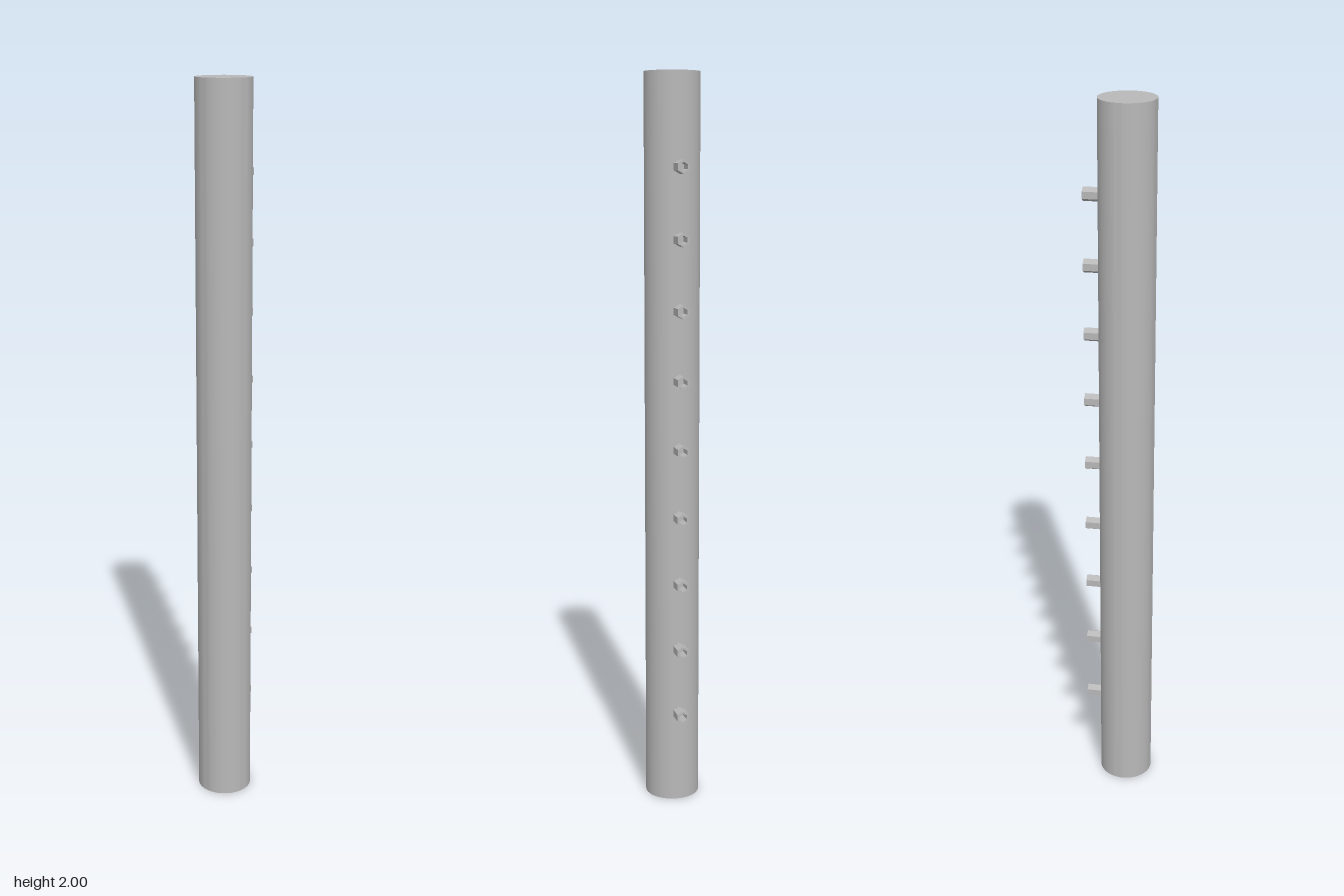
import * as THREE from 'three';
import { toCreasedNormals } from 'three/addons/utils/BufferGeometryUtils.js';

const PIPE_Z = 0.0185;   // pipe axis, set forward of the nozzles
const PIPE_R = 0.0745;
const BORE_R = 0.067;

// Turn a [radius, height] profile, keeping its corners sharp
function turned(profile, sides) {
  const points = profile.map(([r, y]) => new THREE.Vector2(r, y));
  return toCreasedNormals(new THREE.LatheGeometry(points, sides), 0.6);
}

export function createModel() {
  const grey = new THREE.MeshStandardMaterial({ color: 0xb8b8b8 });
  grey.name = 'grey';

  const model = new THREE.Group();
  model.name = 'sprayPipe';

  // Upright pipe: capped on top, open underneath
  const pipe = new THREE.Mesh(turned([
    [0, 1.99], [BORE_R, 1.99], [BORE_R, 0],
    [PIPE_R, 0], [PIPE_R, 2], [0, 2],
  ], 64), grey);
  pipe.name = 'pipe';
  pipe.position.z = PIPE_Z;
  model.add(pipe);

  // Row of short hollow six-sided nozzles up the back, turned a little to one side
  const nozzleGeometry = turned([
    [0, 0.076], [0.012, 0.076], [0.012, 0.113],
    [0.0185, 0.113], [0.0185, 0.07],
  ].reverse(), 6);
  nozzleGeometry.rotateX(-Math.PI / 2);
  nozzleGeometry.rotateY(THREE.MathUtils.degToRad(9.7));

  const nozzles = new THREE.Group();
  nozzles.name = 'nozzles';
  for (let i = 0; i < 9; i++) {
    const nozzle = new THREE.Mesh(nozzleGeometry, grey);
    nozzle.name = `nozzle${i + 1}`;
    nozzle.position.set(0, 0.256 + i * 0.1875, PIPE_Z);
    nozzles.add(nozzle);
  }
  model.add(nozzles);

  return model;
}
